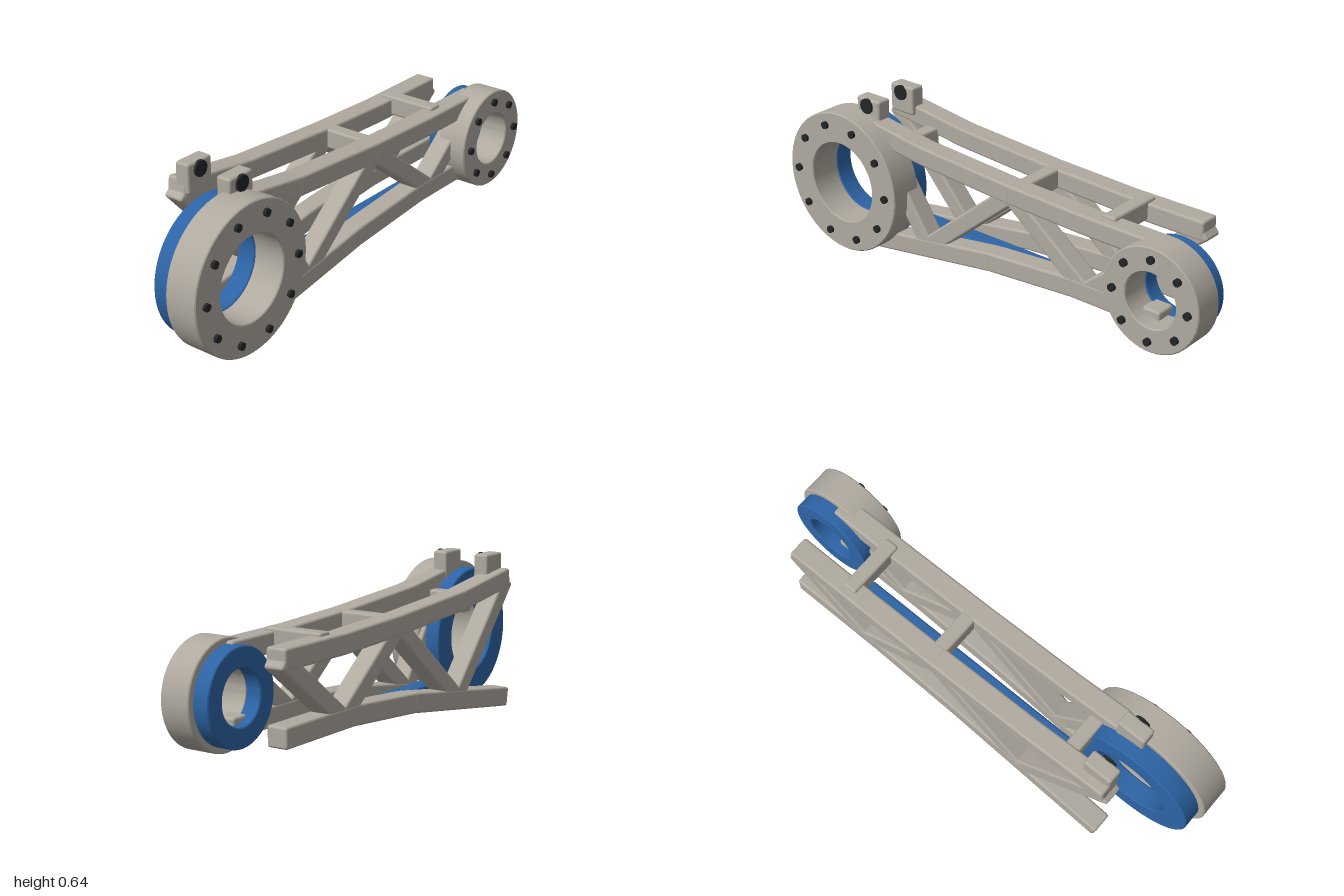
import * as THREE from 'three';
import { RoundedBoxGeometry } from 'three/addons/geometries/RoundedBoxGeometry.js';
import { toCreasedNormals } from 'three/addons/utils/BufferGeometryUtils.js';

function material(name, color) {
  const m = new THREE.MeshStandardMaterial({ color });
  m.name = name;
  return m;
}

export function createModel() {
  const model = new THREE.Group();
  model.name = 'trussLinkArm';
  const grey = material('warmGrey', 0xb0aaa0);
  const blue = material('blue', 0x2d64a6);
  const black = material('black', 0x232526);

  function add(parent, name, geometry, mat, x, y, z) {
    const mesh = new THREE.Mesh(geometry, mat);
    mesh.name = name;
    mesh.position.set(x, y, z);
    parent.add(mesh);
    return mesh;
  }

  // Rounded box given by its limits
  function block(parent, name, mat, x0, x1, y0, y1, z0, z1, r = 0.01) {
    const g = new RoundedBoxGeometry(x1 - x0, y1 - y0, z1 - z0, 3, r);
    return add(parent, name, g, mat, (x0 + x1) / 2, (y0 + y1) / 2, (z0 + z1) / 2);
  }

  // Ring with slightly chamfered rims, its axis along z
  function ring(parent, name, mat, x, y, z0, z1, outer, inner) {
    const c = 0.004, d = z1 - z0;
    const profile = [
      [inner, c], [inner + c, 0], [outer - c, 0], [outer, c],
      [outer, d - c], [outer - c, d], [inner + c, d], [inner, d - c], [inner, c],
    ].map(([r, h]) => new THREE.Vector2(r, h));
    const g = toCreasedNormals(new THREE.LatheGeometry(profile, 72), 0.5);
    g.rotateX(Math.PI / 2);
    return add(parent, name, g, mat, x, y, z0);
  }

  function bolt(parent, x, y, z0, z1, r) {
    const g = new THREE.CylinderGeometry(r, r, z1 - z0, 12);
    g.rotateX(Math.PI / 2);
    add(parent, 'bolt', g, black, x, y, (z0 + z1) / 2);
  }

  // Joint housings: grey ring with a circle of bolts and a blue ring behind
  function joint(name, x, y, s) {
    const group = new THREE.Group();
    group.name = name;
    model.add(group);
    ring(group, 'housingRing', grey, x, y, s.zMid, s.zFront, s.outer, s.inner);
    ring(group, 'motorRing', blue, x, y, s.zBack, s.zMid + 0.002, s.blueOuter, s.blueInner);
    for (let i = 0; i < s.bolts; i++) {
      const a = (i / s.bolts) * Math.PI * 2;
      bolt(group, x + Math.cos(a) * s.boltCircle, y + Math.sin(a) * s.boltCircle,
        s.zFront - 0.01, s.boltTip, 0.015);
    }
  }
  joint('largeJoint', -0.708, 0.297, {
    zBack: -0.022, zMid: 0.056, zFront: 0.19, boltTip: 0.203, outer: 0.292, inner: 0.166,
    blueOuter: 0.267, blueInner: 0.163, bolts: 10, boltCircle: 0.241,
  });
  joint('smallJoint', 0.797, 0.297, {
    zBack: -0.003, zMid: 0.062, zFront: 0.185, boltTip: 0.198, outer: 0.203, inner: 0.107,
    blueOuter: 0.18, blueInner: 0.104, bolts: 8, boltCircle: 0.16,
  });

  // Straight beam between two points in the plane of a truss
  function beam(parent, name, [x0, y0], [x1, y1], z, height, depth, extra) {
    const length = Math.hypot(x1 - x0, y1 - y0) + extra;
    const g = new RoundedBoxGeometry(length, height, depth, 3, 0.01);
    const mesh = add(parent, name, g, grey, (x0 + x1) / 2, (y0 + y1) / 2, z);
    mesh.rotation.z = Math.atan2(y1 - y0, x1 - x0);
  }

  // Truss: bent upper and lower chords joined by zigzag braces
  function truss(name, z, upper, lower, braces) {
    const group = new THREE.Group();
    group.name = name;
    model.add(group);
    for (const [part, path] of [['upperChord', upper], ['lowerChord', lower]]) {
      for (let i = 1; i < path.length; i++) {
        beam(group, part, path[i - 1], path[i], z, 0.078, 0.086, 0.012);
      }
    }
    for (let i = 1; i < braces.length; i++) {
      beam(group, 'brace', braces[i - 1], braces[i], z, 0.07, 0.082, 0.01);
    }
  }
  const upperMid = [[-0.35, 0.492], [0.1, 0.462], [0.45, 0.449]];
  const lowerMid = [[0, 0.15], [0.4, 0.181]];
  const braceMid = [[-0.32, 0.11], [0.1, 0.457], [0.46, 0.182]];
  truss('frontTruss', 0.078,
    [[-0.6, 0.528], ...upperMid, [0.79, 0.447]],
    [[-0.6, 0.06], ...lowerMid, [0.79, 0.181]],
    [[-0.59, 0.51], ...braceMid, [0.67, 0.35]]);
  truss('backTruss', -0.156,
    [[-0.7, 0.54], ...upperMid, [0.8, 0.449]],
    [[-0.7, 0.045], ...lowerMid, [0.8, 0.181]],
    [[-0.7, 0.53], ...braceMid, [0.8, 0.445]]);

  // Cross bars between the two trusses
  for (const [x, z0, z1] of [[-0.495, -0.125, 0.045], [0.12, -0.125, 0.045], [0.535, -0.165, 0.083]]) {
    block(model, 'crossBar', grey, x - 0.03, x + 0.03, 0.42, 0.5, z0, z1);
  }

  // Clamps on top of the chords, each with a bolt
  for (const z of [0.093, -0.098]) {
    block(model, 'clamp', grey, -0.703, -0.582, 0.525, 0.642, z - 0.063, z);
    bolt(model, -0.645, 0.612, z - 0.005, z + 0.009, 0.031);
  }

  // Long blue bar between the trusses
  block(model, 'cableChannel', blue, -0.565, 0.6, 0.1, 0.15, -0.063, 0.014);

  return model;
}
